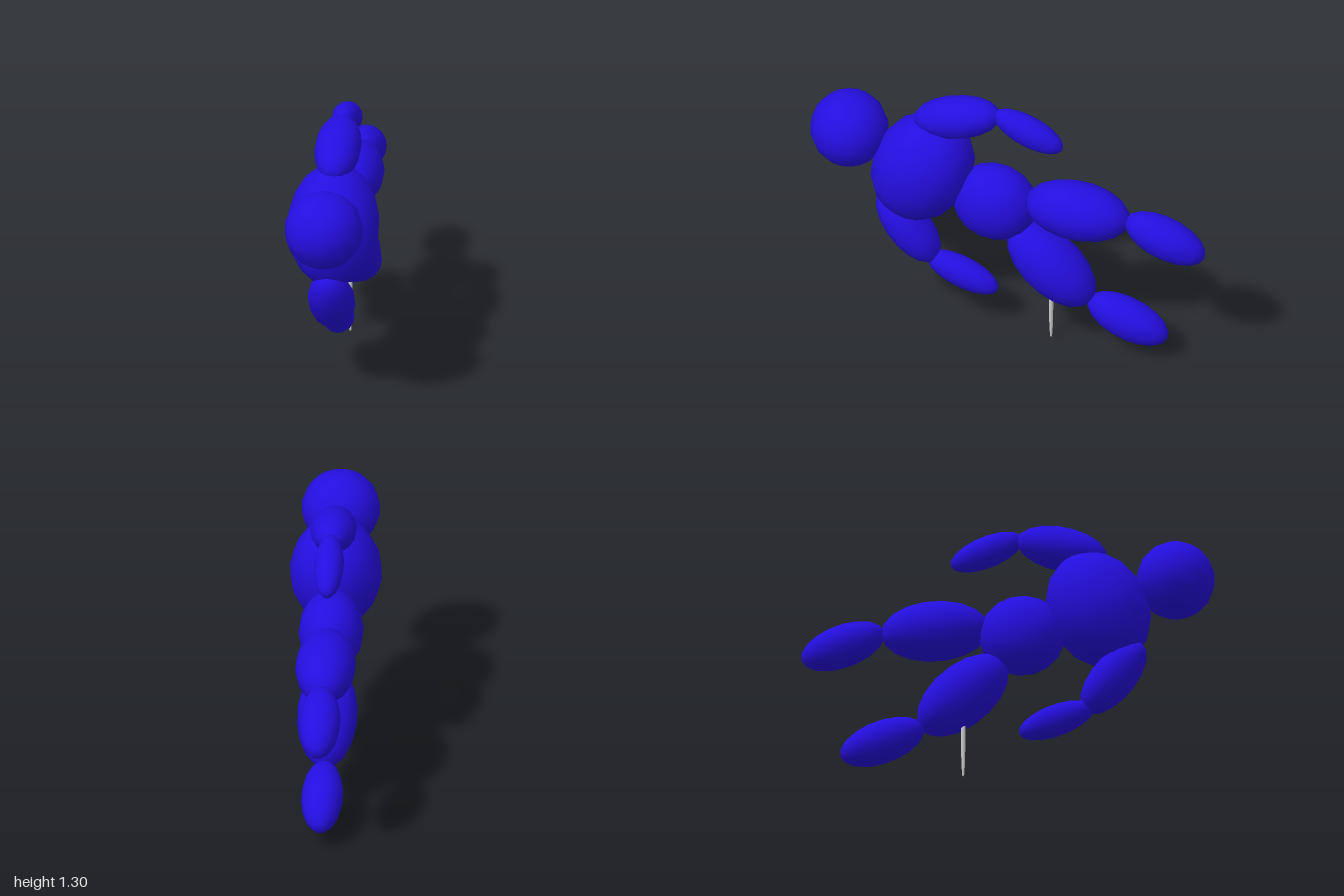
import * as THREE from 'three';

const blue = new THREE.MeshStandardMaterial({ color: 0x240ee0 });
const grey = new THREE.MeshStandardMaterial({ color: 0xcccccc });

// [name, y, z, half width in x, half length, half thickness, downward slope towards the back in degrees]
const parts = [
  ['head', 1.0, 0.81, 0.19, 0.19, 0.19, 90],
  ['chest', 0.86, 0.437, 0.223, 0.3, 0.245, 115],
  ['pelvis', 0.735, 0.07, 0.157, 0.208, 0.2, 5],
  ['upperThigh', 0.775, -0.35, 0.146, 0.262, 0.147, 2],
  ['upperShin', 0.713, -0.795, 0.101, 0.212, 0.104, 20],
  ['lowerThigh', 0.431, -0.217, 0.146, 0.266, 0.148, 41],
  ['lowerShin', 0.198, -0.605, 0.101, 0.214, 0.104, 20],
  ['raisedUpperArm', 1.187, 0.262, 0.112, 0.225, 0.106, -15],
  ['raisedForearm', 1.185, -0.1, 0.072, 0.187, 0.077, 22],
  ['loweredUpperArm', 0.495, 0.51, 0.114, 0.222, 0.106, 51],
  ['loweredForearm', 0.28, 0.235, 0.074, 0.192, 0.077, 20],
];

export function createModel() {
  const group = new THREE.Group();

  // body: every part is a stretched, tilted ball
  const ball = new THREE.SphereGeometry(1, 16, 9);
  for (const [name, y, z, width, length, thickness, slope] of parts) {
    const mesh = new THREE.Mesh(ball, blue);
    mesh.name = name;
    mesh.position.set(0, y, z);
    mesh.scale.set(width, length, thickness);
    mesh.rotation.x = THREE.MathUtils.degToRad(90 - slope);
    group.add(mesh);
  }

  // support pin with a tapered tip
  const profile = [[0, 0], [0.005, 0.005], [0.0085, 0.06], [0.011, 0.18], [0.0115, 0.4], [0, 0.4]]
    .map(([r, y]) => new THREE.Vector2(r, y));
  const pin = new THREE.Mesh(new THREE.LatheGeometry(profile, 12), grey);
  pin.name = 'supportPin';
  pin.position.z = -0.215;
  group.add(pin);

  return group;
}
